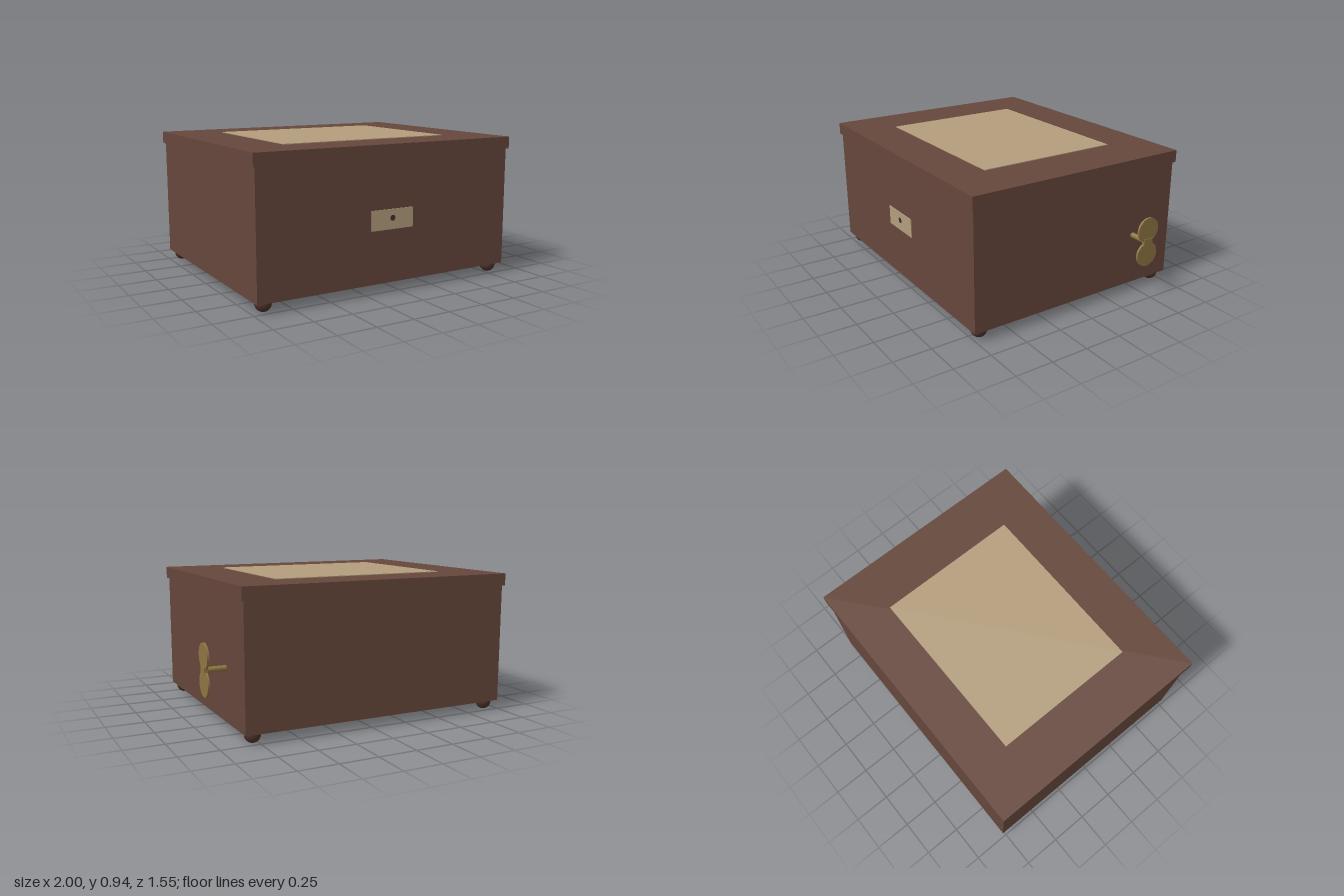
import * as THREE from 'three';

const wood = new THREE.MeshStandardMaterial({ color: 0x65463b });
const footWood = new THREE.MeshStandardMaterial({ color: 0x4a302a });
const inlayTan = new THREE.MeshStandardMaterial({ color: 0xb39d7c });
const brass = new THREE.MeshStandardMaterial({ color: 0x8e7442 });
const dark = new THREE.MeshStandardMaterial({ color: 0x3a2f38 });

const CX = -0.0675; // box centre; the key sticks out on +x

function add(parent, name, geometry, material, x, y, z) {
  const mesh = new THREE.Mesh(geometry, material);
  mesh.name = name;
  mesh.position.set(x, y, z);
  parent.add(mesh);
  return mesh;
}

// Winding key: shaft along x, hub and two round wings
function createKey() {
  const key = new THREE.Group();
  key.name = 'windingKey';
  const shaft = new THREE.CylinderGeometry(0.018, 0.018, 0.16, 24).rotateZ(Math.PI / 2);
  add(key, 'keyShaft', shaft, brass, 0.915, 0, 0);
  add(key, 'keyHub', new THREE.BoxGeometry(0.022, 0.05, 0.07), brass, 0.986, 0, 0);
  const wing = new THREE.CylinderGeometry(0.082, 0.082, 0.014, 40).rotateZ(Math.PI / 2);
  for (const s of [1, -1]) add(key, 'keyWing', wing, brass, 0.985, s * 0.084, 0);
  key.position.set(0, 0.406, -0.448);
  return key;
}

export function createModel() {
  const model = new THREE.Group();
  model.name = 'musicBox';

  // Case and overhanging lid
  add(model, 'case', new THREE.BoxGeometry(1.835, 0.787, 1.53), wood, CX, 0.4585, 0);
  add(model, 'lid', new THREE.BoxGeometry(1.865, 0.08, 1.555), wood, CX, 0.891, 0);
  add(model, 'lidInlay', new THREE.BoxGeometry(1.19, 0.012, 0.966), inlayTan, CX, 0.93, 0);

  // Lock plate with keyhole
  add(model, 'lockPlate', new THREE.BoxGeometry(0.307, 0.127, 0.012), inlayTan, CX, 0.467, 0.764);
  const hole = new THREE.CylinderGeometry(0.018, 0.018, 0.012, 24).rotateX(Math.PI / 2);
  add(model, 'keyhole', hole, dark, CX, 0.475, 0.766);

  // Ball feet
  const ball = new THREE.SphereGeometry(0.051, 32, 20);
  for (const sx of [1, -1]) {
    for (const sz of [1, -1]) add(model, 'foot', ball, footWood, CX + sx * 0.85, 0.051, sz * 0.697);
  }

  model.add(createKey());
  return model;
}
